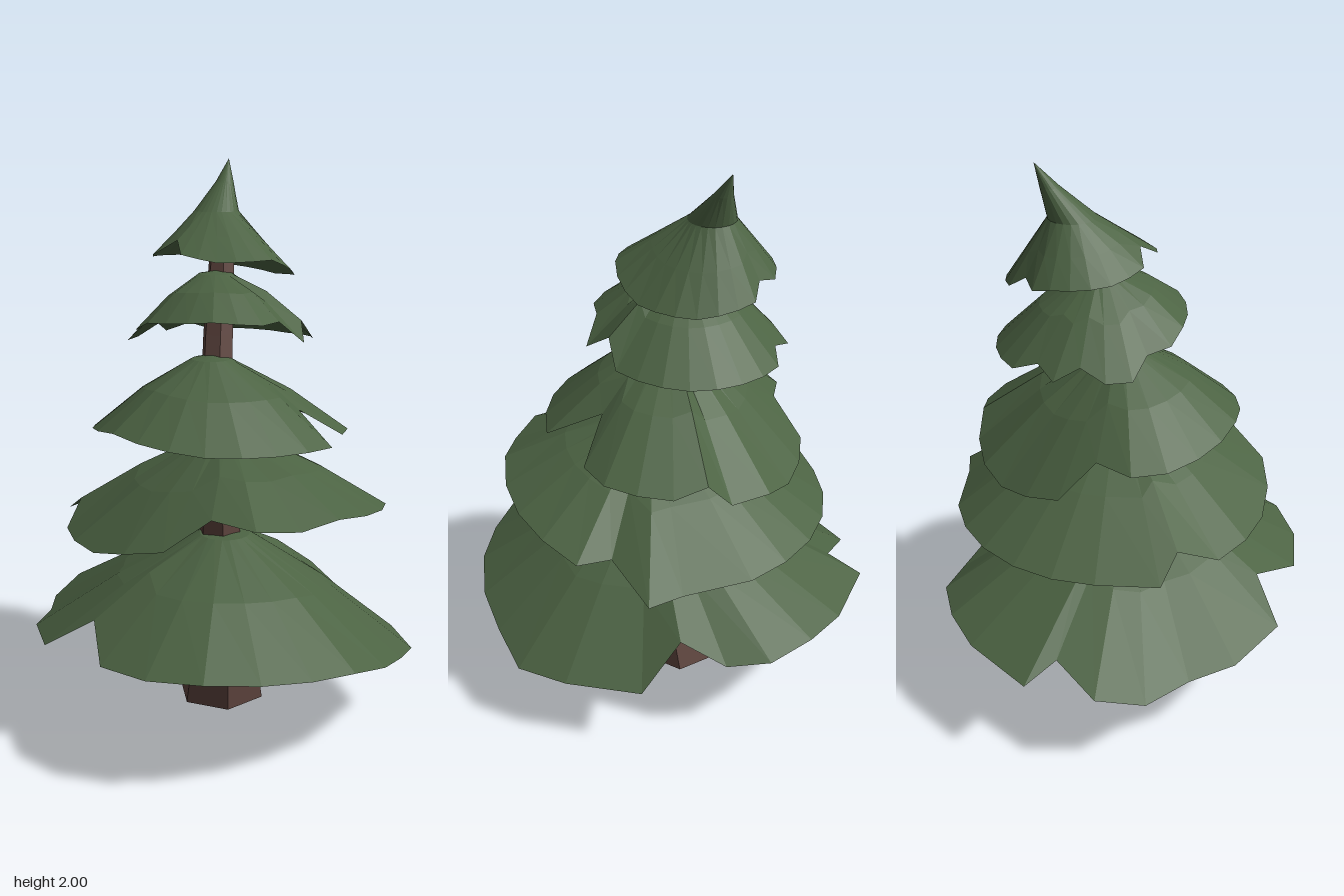
import * as THREE from 'three';

const needles = new THREE.MeshStandardMaterial({ color: 0x4c6343, flatShading: true, side: THREE.DoubleSide });
needles.name = 'needle green';
const bark = new THREE.MeshStandardMaterial({ color: 0x5f453f, flatShading: true });
bark.name = 'bark brown';

const POINTS = 24; // corners around each skirt of branches
const SIDES = 6; // sides of the trunk

// Skin of triangles from a top point through closed rings, with an optional bottom point.
// Each ring runs from +x towards +z.
function loft(top, rings, bottom) {
  const pos = [];
  const tri = (a, b, c) => pos.push(...a, ...b, ...c);
  const n = rings[0].length;
  const last = rings[rings.length - 1];
  for (let i = 0; i < n; i++) {
    const j = (i + 1) % n;
    tri(top, rings[0][j], rings[0][i]);
    for (let k = 0; k + 1 < rings.length; k++) {
      const u = rings[k], l = rings[k + 1];
      tri(u[i], u[j], l[i]);
      tri(u[j], l[j], l[i]);
    }
    if (bottom) tri(bottom, last[i], last[j]);
  }
  const g = new THREE.BufferGeometry();
  g.setAttribute('position', new THREE.Float32BufferAttribute(pos, 3));
  g.computeVertexNormals();
  return g;
}

// Ragged skirt of branches.
// tip: top point; hubs: rings [x, y, z, radius] below it; bulge: swelling halfway down
// oval: rim centre x, z and radii x, z
// heights: rim height every 45 degrees, from +x towards +z
// ragged: notches and lobes by corner: [scale from the centre, lift, turn in corners]
function skirt({ tip, hubs, bulge, oval: [cx, cz, rx, rz], heights, ragged }) {
  const rim = Array.from({ length: POINTS }, (_, i) => {
    const h = i / POINTS * heights.length;
    const k = Math.floor(h);
    const y = THREE.MathUtils.lerp(heights[k], heights[(k + 1) % heights.length], h - k);
    const [scale, lift = 0, turn = 0] = ragged[i] ?? [1];
    const a = (i + turn) / POINTS * Math.PI * 2;
    return [cx + rx * scale * Math.cos(a), y + lift, cz + rz * scale * Math.sin(a)];
  });
  const rings = hubs.map(([x, y, z, r]) => rim.map(([px, , pz]) => {
    const d = Math.hypot(px - x, pz - z);
    return [x + (px - x) / d * r, y, z + (pz - z) / d * r];
  }));
  const inner = rings[rings.length - 1];
  const middle = rim.map((p, i) => p.map((v, k) => (inner[i][k] + v) / 2 + (k === 1 ? bulge : 0)));
  return loft(tip, [...rings, middle, rim]);
}

export function createModel() {
  const tree = new THREE.Group();
  tree.name = 'pineTree';
  const add = (name, geometry, material) => {
    const mesh = new THREE.Mesh(geometry, material);
    mesh.name = name;
    tree.add(mesh);
  };

  // Bent trunk: [x, y, z, radius] from top to foot
  const stations = [
    [-0.1, 1.74, -0.115, 0.045], [-0.04, 1.4, -0.045, 0.056], [0.035, 1.05, 0.03, 0.06],
    [0.06, 0.78, 0.03, 0.07], [0.03, 0.42, -0.01, 0.107], [-0.045, 0, -0.065, 0.167],
  ];
  const rings = stations.map(([x, y, z, r]) => Array.from({ length: SIDES }, (_, i) => {
    const a = (i + 0.5) / SIDES * Math.PI * 2;
    return [x + r * Math.cos(a), y, z + r * Math.sin(a)];
  }));
  add('trunk', loft(stations[0].slice(0, 3), rings, stations[5].slice(0, 3)), bark);

  // Skirts of branches, from the ground up
  add('bottomBranches', skirt({
    tip: [0.08, 0.71, 0.02], hubs: [[0.08, 0.7, 0.02, 0.09]], bulge: 0.02,
    oval: [0, -0.01, 0.72, 0.655],
    heights: [0.38, 0.42, 0.39, 0.31, 0.35, 0.38, 0.34, 0.26],
    ragged: {
      2: [1.02], 3: [1.06], 4: [1.06], 5: [1.02], 6: [0.83, 0.08], 7: [1.03, 0, -0.3],
      9: [0.94, 0.01], 10: [1, -0.02], 12: [0.86, 0.05], 13: [1.03, 0, -0.6],
      17: [0.92, 0, -0.2], 18: [0.8, 0.08, -0.3], 19: [0.96, -0.04, -0.5], 20: [1, -0.02], 21: [1.05],
    },
  }), needles);

  add('lowerBranches', skirt({
    tip: [0.06, 1.07, -0.05], hubs: [[0.05, 1.04, -0.03, 0.1]], bulge: 0.015,
    oval: [0.01, -0.04, 0.585, 0.575],
    heights: [0.87, 0.82, 0.72, 0.71, 0.71, 0.71, 0.69, 0.8],
    ragged: {
      2: [1, 0.03], 3: [0.86, 0.06], 9: [0.93, 0.07], 10: [1.06, 0, -0.4],
      17: [1, 0, 0.6], 18: [1.09, 0, 0.3], 19: [0.85, 0.03, 0.4],
    },
  }), needles);

  add('middleBranches', skirt({
    tip: [-0.01, 1.335, 0], hubs: [[-0.01, 1.32, 0.01, 0.07]], bulge: 0.02,
    oval: [-0.02, -0.05, 0.455, 0.475],
    heights: [1.06, 1.07, 1.11, 1.06, 0.96, 0.95, 1.02, 1.04],
    ragged: {
      10: [0.97, 0.03], 11: [0.82, 0.08], 13: [1, -0.02], 14: [1, -0.03],
      16: [0.98, -0.01, 0.3], 17: [0.95, 0.05], 21: [0.93], 22: [0.62, 0.1],
    },
  }), needles);

  add('upperBranches', skirt({
    tip: [-0.06, 1.62, -0.05], hubs: [[-0.06, 1.61, -0.05, 0.06]], bulge: 0.02,
    oval: [-0.07, -0.085, 0.335, 0.325],
    heights: [1.46, 1.48, 1.46, 1.36, 1.36, 1.36, 1.36, 1.38],
    ragged: {
      0: [0.92, 0.01], 8: [0.9, 0.02], 9: [1.04], 11: [0.88, 0.04],
      13: [0.88, 0.03], 22: [0.9, 0.05], 23: [1.05, -0.04],
    },
  }), needles);

  add('crown', skirt({
    tip: [-0.195, 2, -0.22], bulge: 0,
    hubs: [[-0.17, 1.92, -0.18, 0.032], [-0.14, 1.82, -0.118, 0.08]],
    oval: [-0.09, -0.11, 0.26, 0.25],
    heights: [1.67, 1.665, 1.7, 1.66, 1.65, 1.61, 1.585, 1.6],
    ragged: { 6: [0.82, 0.03], 14: [0.88, 0.03] },
  }), needles);

  return tree;
}
